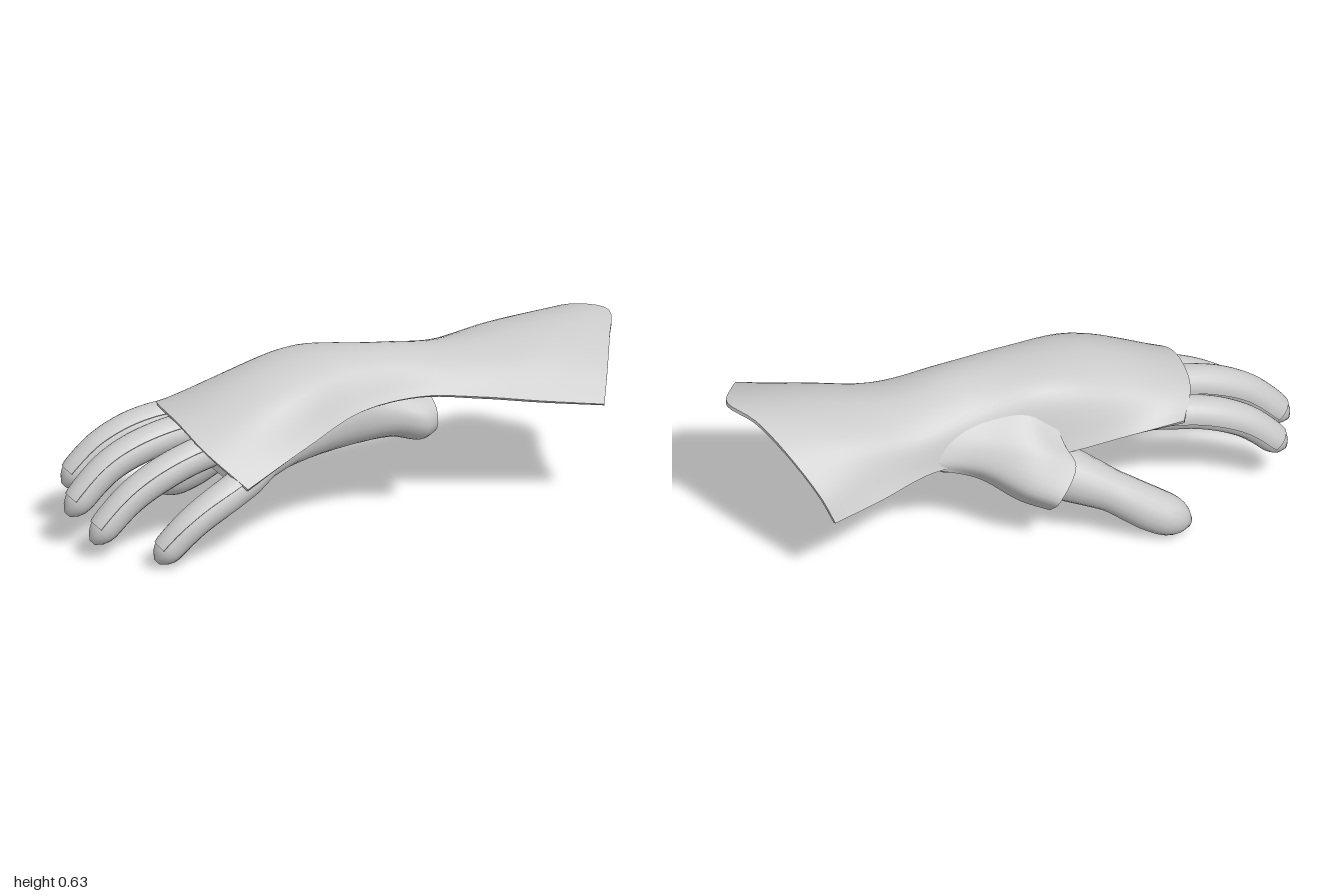
import * as THREE from 'three';
import { toCreasedNormals } from 'three/addons/utils/BufferGeometryUtils.js';

const V = (p) => new THREE.Vector3(...p);
const curve = (pts) => new THREE.CatmullRomCurve3(pts, false, 'centripetal');
const sample = (pts, n) => {
  const c = curve(pts);
  return Array.from({ length: n + 1 }, (_, i) => c.getPoint(i / n));
};

// Solid through closed rings of equal, even point count, with zipped end caps
function loft(rings) {
  const n = rings[0].length, m = rings.length, idx = [];
  const quad = (a, b, c, d) => idx.push(a, b, c, a, c, d);
  for (let r = 0; r < m - 1; r++) {
    for (let i = 0; i < n; i++) {
      const j = (i + 1) % n;
      quad(r * n + i, r * n + j, (r + 1) * n + j, (r + 1) * n + i);
    }
  }
  const last = (m - 1) * n;
  for (let i = 0; i < n / 2 - 1; i++) {
    quad(i, n - 1 - i, n - 2 - i, i + 1);
    quad(last + i, last + i + 1, last + n - 2 - i, last + n - 1 - i);
  }
  const pts = rings.flat();
  // Turn all faces outward
  let volume = 0;
  for (let i = 0; i < idx.length; i += 3) {
    volume += pts[idx[i]].dot(pts[idx[i + 1]].clone().cross(pts[idx[i + 2]]));
  }
  if (volume < 0) idx.reverse();
  const geo = new THREE.BufferGeometry().setFromPoints(pts);
  geo.setIndex(idx);
  return toCreasedNormals(geo, 0.8);
}

// Smooth curves down the length through matching points of each row
function smoothLength(rows, nv) {
  const cols = rows[0].map((_, i) => sample(rows.map((r) => r[i]), nv));
  return cols[0].map((_, j) => cols.map((c) => c[j]));
}

// Plate with thickness: outer row, then the inner row back again
function plate(grid, t) {
  const m = grid.length - 1, n = grid[0].length - 1;
  return loft(grid.map((row, j) => {
    const inner = row.map((p, i) => {
      const du = row[Math.min(i + 1, n)].clone().sub(row[Math.max(i - 1, 0)]);
      const dv = grid[Math.min(j + 1, m)][i].clone().sub(grid[Math.max(j - 1, 0)][i]);
      return p.clone().addScaledVector(du.cross(dv).normalize(), -t);
    });
    return [...row, ...inner.reverse()];
  }));
}

// Rings or arcs around a path; radius(t) gives the size, angles run from +x over the top
function sweep(path, radius, steps, tEnd, a0, a1, count, closed) {
  const c = curve(path), rings = [];
  for (let s = 0; s <= steps; s++) {
    const t = (s / steps) * tEnd, centre = c.getPointAt(t), tan = c.getTangentAt(t);
    const side = new THREE.Vector3(0, 1, 0).cross(tan).normalize();
    const up = tan.clone().cross(side);
    const r = radius(t);
    rings.push(Array.from({ length: count }, (_, i) => {
      const a = a0 + (a1 - a0) * i / (closed ? count : count - 1);
      return centre.clone().addScaledVector(side, r * Math.cos(a)).addScaledVector(up, r * Math.sin(a));
    }));
  }
  return rings;
}

// Linear radius list with a rounded tip over the last part of the path
const tipped = (radii, start) => (t) => {
  const f = t * (radii.length - 1), i = Math.min(Math.floor(f), radii.length - 2);
  const r = THREE.MathUtils.lerp(radii[i], radii[i + 1], f - i);
  const k = Math.max(0, (t - start) / (1 - start));
  return r * Math.max(0.25, Math.sqrt(Math.max(0, 1 - k * k)));
};

export function createModel() {
  const group = new THREE.Group();
  const mat = new THREE.MeshStandardMaterial({ color: 0xcccccc });
  const add = (name, geo) => {
    const mesh = new THREE.Mesh(geo, mat);
    mesh.name = name;
    group.add(mesh);
  };

  // Palm and wrist stub: z, centre x, centre y, half width, half height, tilt, slant of z over x
  const sections = [
    [-0.305, 0.045, 0.36, 0.185, 0.092, 0.04, 0.2], [-0.26, 0.045, 0.355, 0.19, 0.1, 0.04, 0.2],
    [-0.15, 0.035, 0.385, 0.16, 0.1, 0, 0.1], [0.02, -0.03, 0.41, 0.18, 0.14, -0.1, 0],
    [0.28, -0.08, 0.39, 0.225, 0.12, -0.22, 0], [0.45, -0.11, 0.355, 0.255, 0.085, -0.3, 0],
    [0.54, -0.11, 0.355, 0.23, 0.05, -0.3, 0],
  ];
  const palmRings = sections.map(([z, cx, cy, rx, ry, tilt, slant]) =>
    Array.from({ length: 28 }, (_, i) => {
      const a = ((i + 0.5) / 28) * Math.PI * 2;
      const soft = (v) => Math.sign(v) * Math.abs(v) ** 0.88;
      const x = rx * soft(Math.cos(a)), y = ry * soft(Math.sin(a));
      return V([cx + x * Math.cos(tilt) - y * Math.sin(tilt),
        cy + x * Math.sin(tilt) + y * Math.cos(tilt), z + slant * x]);
    }));
  add('palm', loft(smoothLength(palmRings, 24)));

  // Fingers, each with an armour strip along its back
  const fingers = {
    index: [[-0.29, 0.37, 0.36], [-0.365, 0.375, 0.55], [-0.43, 0.305, 0.73], [-0.48, 0.165, 0.875]],
    middle: [[-0.17, 0.38, 0.4], [-0.205, 0.38, 0.62], [-0.26, 0.3, 0.83], [-0.305, 0.135, 0.995]],
    ring: [[-0.04, 0.36, 0.4], [-0.065, 0.335, 0.62], [-0.12, 0.23, 0.83], [-0.165, 0.07, 0.99]],
    little: [[0.09, 0.32, 0.36], [0.115, 0.25, 0.57], [0.09, 0.16, 0.73], [0.045, 0.03, 0.86]],
  };
  for (const [name, pts] of Object.entries(fingers)) {
    const path = pts.map(V), radius = tipped([0.04, 0.06, 0.06, 0.056, 0.052], 0.88);
    add(name + 'Finger', loft(sweep(path, radius, 30, 1, 0, Math.PI * 2, 16, true)));
    const strip = sweep(path, (t) => radius(t) + 0.005, 24, 0.92, 0.6, 3.3, 14, false);
    add(name + 'FingerPlate', plate(strip, 0.012));
  }

  // Thumb with the fleshy mound at its base
  const thumbPath = [[0.04, 0.36, -0.24], [-0.09, 0.33, -0.14], [-0.2, 0.3, -0.04], [-0.31, 0.255, 0.07],
    [-0.405, 0.195, 0.19], [-0.48, 0.105, 0.32], [-0.54, 0.04, 0.437]].map(V);
  const thumbRadius = tipped([0.07, 0.105, 0.122, 0.098, 0.076, 0.081, 0.073], 0.89);
  add('thumb', loft(sweep(thumbPath, thumbRadius, 40, 1, 0, Math.PI * 2, 20, true)));

  // Back-of-hand shell running into the flared forearm cuff
  const shell = [
    [[-0.435, 0.41, 0.48], [-0.325, 0.458, 0.575], [-0.12, 0.455, 0.635], [0.03, 0.39, 0.63], [0.19, 0.28, 0.56]],
    [[-0.37, 0.38, 0.27], [-0.285, 0.52, 0.32], [-0.1, 0.577, 0.34], [0.085, 0.535, 0.32], [0.193, 0.385, 0.28]],
    [[-0.31, 0.36, 0.04], [-0.22, 0.58, 0.05], [-0.07, 0.62, 0.06], [0.085, 0.585, 0.05], [0.177, 0.45, 0.04]],
    [[-0.21, 0.36, -0.2], [-0.15, 0.53, -0.2], [0, 0.605, -0.2], [0.13, 0.575, -0.2], [0.217, 0.465, -0.2]],
    [[-0.175, 0.37, -0.42], [-0.12, 0.5, -0.43], [0.04, 0.57, -0.45], [0.2, 0.54, -0.43], [0.31, 0.445, -0.4]],
    [[-0.19, 0.35, -0.64], [-0.08, 0.53, -0.67], [0.14, 0.6, -0.72], [0.32, 0.55, -0.65], [0.435, 0.425, -0.58]],
    [[-0.2, 0.335, -0.845], [-0.15, 0.43, -0.875], [0, 0.56, -0.93], [0.15, 0.62, -0.965],
      [0.28, 0.628, -1], [0.4, 0.58, -0.91], [0.51, 0.5, -0.815], [0.565, 0.41, -0.76]],
  ].map((r) => sample(r.map(V), 28));
  add('gauntletShell', plate(smoothLength(shell, 36), 0.014));

  // Guard that flows from the shell around the base of the thumb, thumb to wrist
  const guard = [
    [[-0.36, 0.17, -0.04], [-0.43, 0.25, -0.04], [-0.385, 0.345, 0.055], [-0.315, 0.4, 0.05], [-0.255, 0.495, 0.04]],
    [[-0.3, 0.21, -0.13], [-0.365, 0.29, -0.13], [-0.33, 0.4, -0.08], [-0.262, 0.475, -0.06], [-0.2, 0.54, -0.03]],
    [[-0.2, 0.29, -0.24], [-0.235, 0.355, -0.25], [-0.22, 0.43, -0.23], [-0.187, 0.485, -0.2], [-0.155, 0.525, -0.17]],
    [[-0.168, 0.372, -0.4], [-0.163, 0.4, -0.4], [-0.152, 0.43, -0.39], [-0.137, 0.465, -0.38], [-0.115, 0.495, -0.37]],
  ].map((r) => sample(r.map(V), 20));
  add('thumbGuard', plate(smoothLength(guard, 18), 0.012));

  return group;
}
